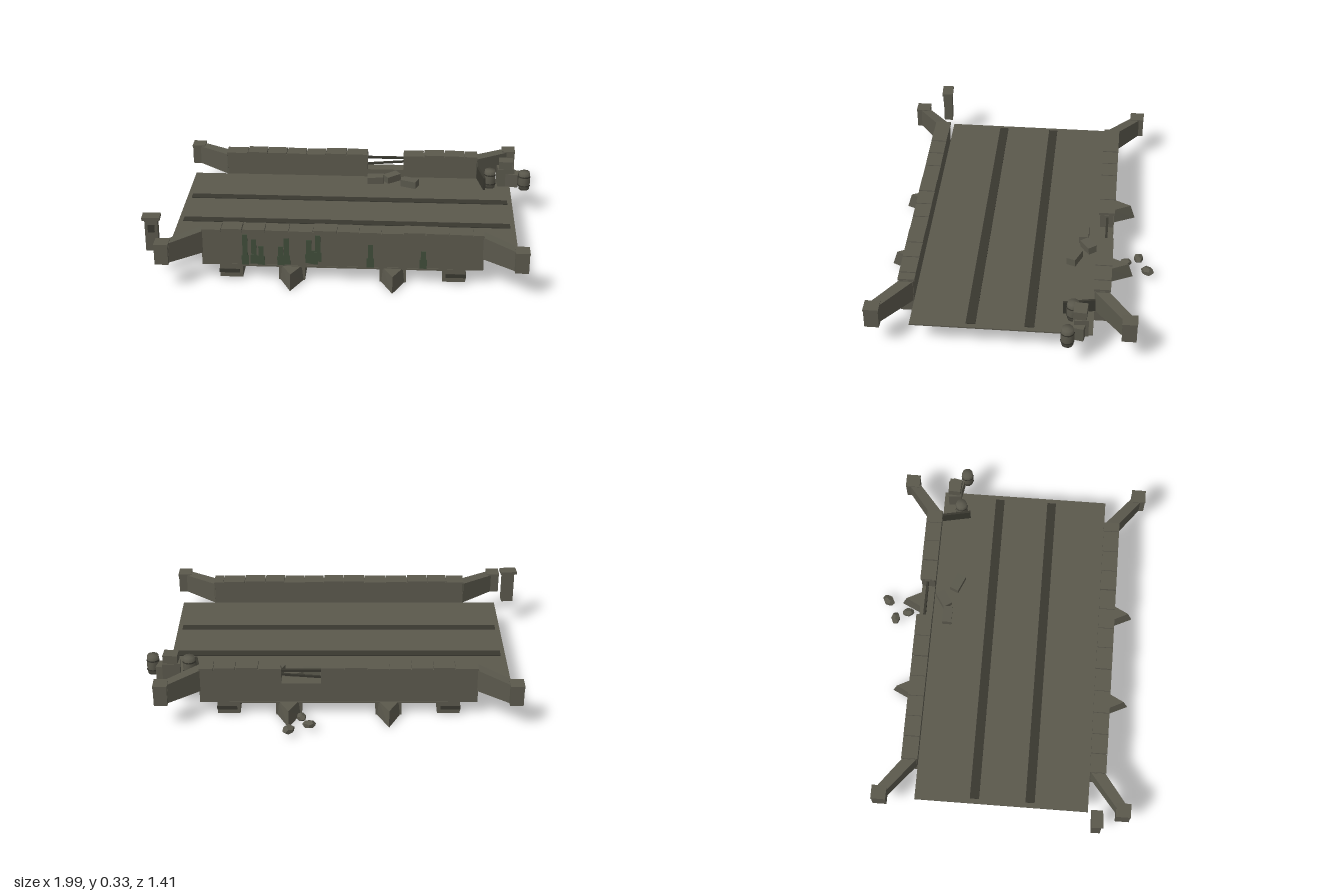
import * as THREE from 'three';

const mat = (name, color) => {
  const m = new THREE.MeshStandardMaterial({ color });
  m.name = name;
  return m;
};

export function createModel() {
  const stone = mat('stone', 0x5a584c);
  const dark = mat('dark stone', 0x38372f);
  const moss = mat('moss', 0x3f4b39);
  const model = new THREE.Group();
  model.name = 'stoneBridge';

  const add = (name, geo, material, parent = model) => {
    const m = new THREE.Mesh(geo, material);
    m.name = name;
    parent.add(m);
    return m;
  };
  // Box given by its minimum and maximum corners
  const box = (name, x0, x1, y0, y1, z0, z1, material = stone, parent = model) => {
    const m = add(name, new THREE.BoxGeometry(x1 - x0, y1 - y0, z1 - z0), material, parent);
    m.position.set((x0 + x1) / 2, (y0 + y1) / 2, (z0 + z1) / 2);
    return m;
  };
  // Upright prism over a ground outline of [x, z] points
  const prism = (name, pts, y0, y1, material, parent) => {
    const s = new THREE.Shape(pts.map(([x, z]) => new THREE.Vector2(x, -z)));
    const g = new THREE.ExtrudeGeometry(s, { depth: y1 - y0, bevelEnabled: false });
    g.rotateX(-Math.PI / 2).translate(0, y0, 0);
    return add(name, g, material, parent);
  };

  // Main structure, symmetric about its own centre
  const bridge = new THREE.Group();
  bridge.name = 'bridge';
  bridge.position.set(0.005, 0, 0.032);
  model.add(bridge);

  box('deck', -0.882, 0.882, 0.139, 0.146, -0.449, 0.449, stone, bridge);
  for (const z of [-0.139, 0.149])
    box('wheelTrack', -0.857, 0.857, 0.145, 0.15, z - 0.024, z + 0.024, dark, bridge);
  box('ceilingSlab', -0.555, 0.555, 0.075, 0.085, -0.522, 0.522, stone, bridge);

  // Abutments with dark recess bands
  for (const s of [-1, 1]) {
    const x = s * 0.56;
    box('abutment', x - 0.058, x + 0.058, 0.01, 0.14, -0.515, 0.515, stone, bridge);
    for (const e of [-1, 1])
      box('abutmentBand', x - 0.051 + s * 0.009, x + 0.051 + s * 0.009, 0.034, 0.054,
        e * 0.499 - 0.019, e * 0.499 + 0.019, dark, bridge);
  }

  // Piers with tapering pointed cutwaters
  for (const x of [-0.254, 0.254]) {
    box('pier', x - 0.066, x + 0.066, 0, 0.14, -0.514, 0.514, stone, bridge);
    for (const e of [-1, 1]) {
      const outline = [[x - 0.06, e * 0.51], [x + 0.06, e * 0.51], [x, e * 0.635]];
      const cut = prism('cutwater', e > 0 ? outline.reverse() : outline, 0, 0.08, stone, bridge);
      const p = cut.geometry.attributes.position;
      for (let i = 0; i < p.count; i++) {
        if (p.getY(i) < 0.04) continue;
        p.setX(i, x + (p.getX(i) - x) * 0.86);
        if (Math.abs(p.getZ(i)) > 0.55) p.setZ(i, e * 0.61);
      }
      cut.geometry.computeVertexNormals();
    }
  }

  // Parapet walls; the back one has a broken gap
  const zIn = 0.449, zOut = 0.519;
  box('frontParapet', -0.705, 0.705, 0.08, 0.268, zIn, zOut, stone, bridge);
  box('backParapetBase', -0.705, 0.705, 0.08, 0.19, -zOut, -zIn, stone, bridge);
  box('backParapetRight', -0.705, 0.09, 0.19, 0.268, -zOut, -zIn, stone, bridge);
  box('backParapetLeft', 0.29, 0.705, 0.19, 0.268, -zOut, -zIn, stone, bridge);

  // Coping stones with slight height changes
  const coping = (edges, side) => {
    for (let i = 0; i < edges.length - 1; i++) {
      const lift = ((i * 7) % 4) * 0.002;
      box('copingStone', edges[i] + 0.002, edges[i + 1] - 0.002, 0.266, 0.277 + lift,
        side * 0.484 - 0.042, side * 0.484 + 0.042, stone, bridge);
    }
  };
  coping([-0.705, -0.605, -0.5, -0.385, -0.265, -0.145, -0.025, 0.085, 0.195, 0.305, 0.415, 0.53, 0.65, 0.705], 1);
  coping([-0.705, -0.585, -0.475, -0.365, -0.255, -0.145, -0.03, 0.09], -1);
  coping([0.29, 0.405, 0.52, 0.63, 0.705], -1);

  // Splayed wing walls and end posts at all four corners
  for (const sx of [-1, 1]) for (const sz of [-1, 1]) {
    const pts = [[0.7, 0.447], [0.7, 0.52], [0.85, 0.635], [0.9, 0.635], [0.9, 0.61]]
      .map(([x, z]) => [x * sx, z * sz]);
    if (sx * sz > 0) pts.reverse();
    prism('wingWall', pts, 0.145, 0.24, stone, bridge);
    const cap = prism('wingCap', pts, 0.238, 0.252, stone, bridge);
    const p = cap.geometry.attributes.position;
    for (let i = 0; i < p.count; i++)
      if (p.getY(i) > 0.245) p.setY(i, 0.264 - (Math.abs(p.getX(i)) - 0.7) * 0.09);
    cap.geometry.computeVertexNormals();
    const x = sx * 0.885, z = sz * 0.625;
    box('endPost', x - 0.034, x + 0.034, 0.145, 0.245, z - 0.036, z + 0.036, stone, bridge);
    box('endPostCap', x - 0.036, x + 0.036, 0.243, 0.255, z - 0.038, z + 0.038, stone, bridge);
  }

  // Makeshift rails across the gap
  box('gapRail', 0.095, 0.295, 0.242, 0.254, -0.461, -0.449, dark);
  const lowRail = box('gapRail', 0.095, 0.295, 0.212, 0.223, -0.46, -0.45, dark);
  lowRail.rotation.z = 0.08;

  // Moss streaks on the front wall: centre x, bottom, top
  for (const [x, y0, y1] of [[-0.482, 0.085, 0.25], [-0.438, 0.09, 0.225], [-0.402, 0.085, 0.188],
    [-0.303, 0.085, 0.188], [-0.274, 0.09, 0.235], [-0.162, 0.1, 0.228], [-0.135, 0.095, 0.17],
    [-0.117, 0.11, 0.255], [0.146, 0.085, 0.21], [0.41, 0.085, 0.18]]) {
    box('mossStreak', x - 0.013, x + 0.013, y0 + 0.02, y1, 0.55, 0.554, moss);
    box('mossFoot', x - 0.018, x + 0.018, y0, y0 + 0.05, 0.55, 0.555, moss);
  }

  // Roadside marker with niche and cap
  const marker = new THREE.Group();
  marker.name = 'roadsideMarker';
  marker.position.set(-0.952, 0.145, 0.522);
  marker.rotation.y = 0.06;
  model.add(marker);
  box('markerBody', -0.032, 0.032, 0, 0.172, -0.024, 0.024, stone, marker);
  box('markerCap', -0.045, 0.045, 0.17, 0.186, -0.03, 0.03, stone, marker);
  box('markerNiche', -0.017, 0.017, 0.105, 0.145, 0.022, 0.027, dark, marker);

  // Fallen blocks on the deck: x, z, length, width, turn
  for (const [x, z, l, w, a] of [[0.143, -0.338, 0.09, 0.05, 0], [0.233, -0.365, 0.085, 0.05, 0.6],
    [0.333, -0.298, 0.09, 0.05, -0.4]]) {
    const b = add('fallenBlock', new THREE.BoxGeometry(l, 0.04, w), stone);
    b.position.set(x, 0.167, z);
    b.rotation.set(0.05, a, 0.03);
  }

  // Rubble on the ground behind the gap
  [[0.153, -0.63, 0.035], [0.255, -0.678, 0.038], [0.193, -0.563, 0.033]].forEach(([x, z, r], i) => {
    const g = new THREE.DodecahedronGeometry(r, 0);
    g.scale(1, 0.6, 0.75);
    const rock = add('rubble', g, stone);
    rock.position.set(x, 0.038, z);
    rock.rotation.y = i * 0.9;
  });

  // Crates, barrels and a leaning board beside the road
  const crate = (x, y, z, w, h, d, a) => {
    const c = add('crate', new THREE.BoxGeometry(w, h, d), stone);
    c.position.set(x, y + h / 2, z);
    c.rotation.y = a;
  };
  crate(0.862, 0.146, -0.358, 0.09, 0.1, 0.07, 0.08);
  crate(0.862, 0.246, -0.355, 0.075, 0.045, 0.065, -0.06);
  crate(0.9, 0.146, -0.348, 0.07, 0.075, 0.065, -0.2);
  for (const [x, z] of [[0.775, -0.315], [0.963, -0.298]]) {
    const profile = [[0, 0], [0.029, 0], [0.033, 0.03], [0.033, 0.07], [0.029, 0.102], [0, 0.102]]
      .map(([r, y]) => new THREE.Vector2(r, y));
    add('barrel', new THREE.LatheGeometry(profile, 10).toNonIndexed(), stone).position.set(x, 0.146, z);
    for (const y of [0.025, 0.077]) {
      const hoop = add('barrelHoop', new THREE.CylinderGeometry(0.0345, 0.0345, 0.008, 10, 1, true), dark);
      hoop.position.set(x, 0.146 + y, z);
    }
  }
  const board = add('leaningBoard', new THREE.BoxGeometry(0.012, 0.07, 0.16), dark);
  board.position.set(0.728, 0.183, -0.342);
  board.rotation.y = 0.2;

  return model;
}
